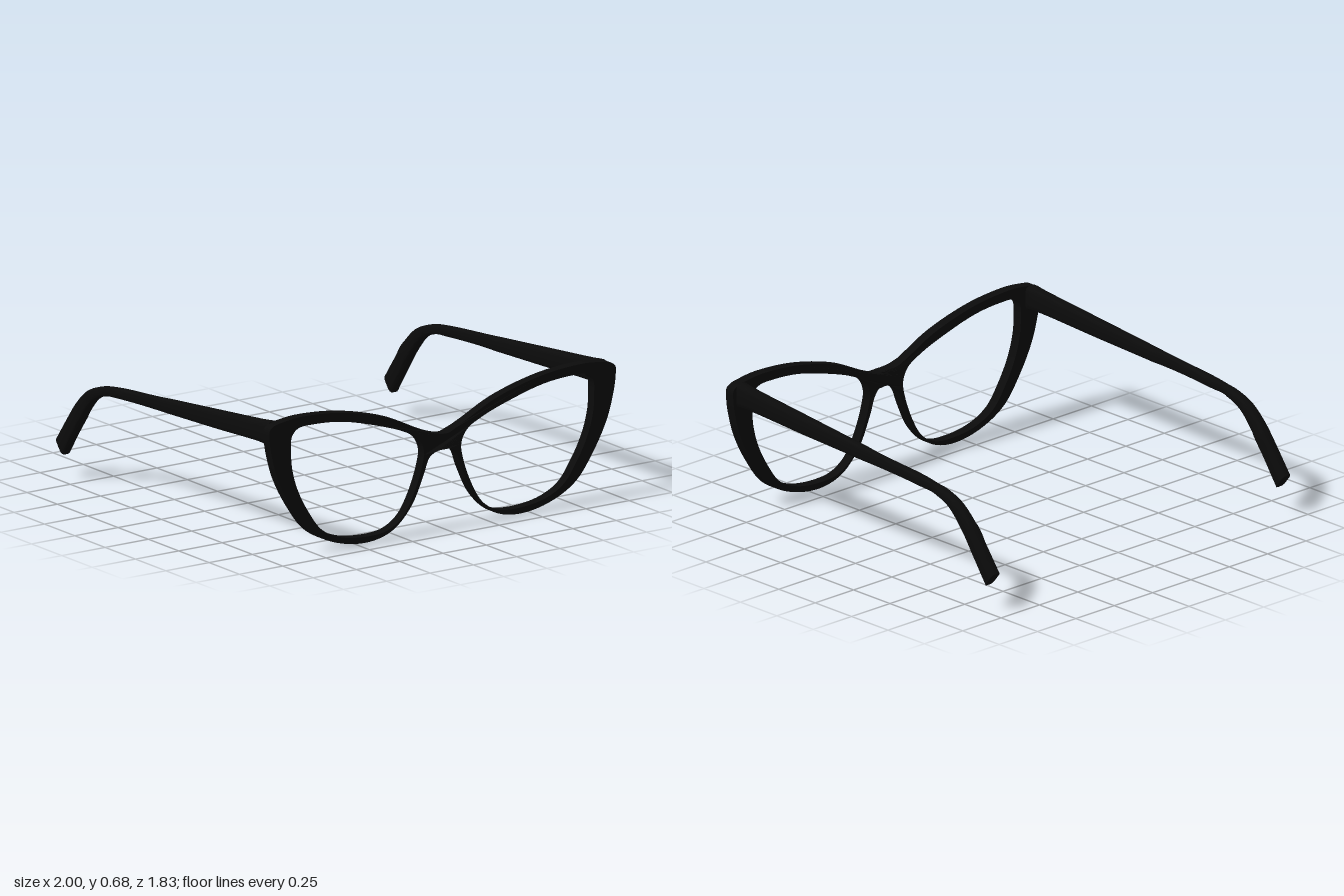
import * as THREE from 'three';
import { toCreasedNormals } from 'three/addons/utils/BufferGeometryUtils.js';

const material = new THREE.MeshStandardMaterial({ color: 0x0b0b0b });
const FRONT = 0.89, BACK = 0.84;

// Smooth closed outline through a few [x, y] points
function smoothLoop(points, divisions) {
  const curve = new THREE.CatmullRomCurve3(points.map(([x, y]) => new THREE.Vector3(x, y, 0)), true);
  return curve.getPoints(divisions).slice(0, -1).map((p) => new THREE.Vector2(p.x, p.y));
}
const mirrorX = (points) => points.map(([x, y]) => [-x, y]).reverse();

// Cat-eye rim with two lens openings; the bridge bulges forward
function createRim() {
  const half = [
    [0.035, 0.393], [0.075, 0.365], [0.11, 0.28], [0.18, 0.14], [0.285, 0.04], [0.42, 0.003],
    [0.605, 0.027], [0.765, 0.107], [0.87, 0.24], [0.95, 0.39], [0.988, 0.52], [0.998, 0.585],
    [0.998, 0.638], [0.975, 0.658], [0.9, 0.673], [0.81, 0.68], [0.58, 0.662], [0.31, 0.593],
    [0.12, 0.505], [0.055, 0.48],
  ];
  const lens = [
    [0.875, 0.52], [0.87, 0.59], [0.835, 0.625], [0.74, 0.632], [0.58, 0.618], [0.39, 0.57],
    [0.23, 0.515], [0.14, 0.465], [0.108, 0.4], [0.12, 0.32], [0.17, 0.19], [0.23, 0.096],
    [0.31, 0.045], [0.41, 0.031], [0.58, 0.05], [0.695, 0.105], [0.77, 0.2], [0.835, 0.32], [0.868, 0.43],
  ];
  const shape = new THREE.Shape(smoothLoop([[0, 0.396], ...half, [0, 0.473], ...mirrorX(half)], 336));
  for (const hole of [lens, mirrorX(lens)]) shape.holes.push(new THREE.Path(smoothLoop(hole, 133)));

  const geometry = new THREE.ExtrudeGeometry(shape, { depth: FRONT - BACK, bevelEnabled: false });
  geometry.translate(0, 0, BACK);
  const pos = geometry.attributes.position;
  for (let i = 0; i < pos.count; i++) {
    const t = Math.min(Math.abs(pos.getX(i)) / 0.1, 1);
    pos.setZ(i, pos.getZ(i) + 0.0125 * (1 + Math.cos(Math.PI * t)));
  }
  const rim = new THREE.Mesh(toCreasedNormals(geometry, 0.6), material);
  rim.name = 'frontRim';
  return rim;
}

// Temple arm: rounded sections lofted along a top edge and a bottom edge
function createTemple(side) {
  // Stations: top z, top y, bottom z, bottom y, inner |x|, outer |x|
  const stations = [
    [0.845, 0.668, 0.845, 0.548, 0.903, 0.98], [0.82, 0.666, 0.82, 0.549, 0.912, 0.979],
    [0.76, 0.658, 0.76, 0.551, 0.915, 0.977], [0.4, 0.622, 0.4, 0.533, 0.919, 0.976],
    [0, 0.583, 0, 0.515, 0.924, 0.973], [-0.4, 0.544, -0.4, 0.495, 0.924, 0.973],
    [-0.54, 0.523, -0.52, 0.48, 0.924, 0.973], [-0.655, 0.48, -0.605, 0.444, 0.921, 0.975],
    [-0.75, 0.4, -0.69, 0.355, 0.92, 0.975], [-0.83, 0.3, -0.77, 0.243, 0.92, 0.975],
    [-0.914, 0.188, -0.858, 0.117, 0.92, 0.975],
  ];
  const curveOf = (pick) => new THREE.CatmullRomCurve3(stations.map((s) => new THREE.Vector3(...pick(s))));
  const top = curveOf((s) => [0, s[1], s[0]]);
  const bottom = curveOf((s) => [0, s[3], s[2]]);
  const width = curveOf((s) => [s[4], s[5], 0]);
  const rings = 60, sides = 28;
  const positions = [], index = [];
  const softPower = (v) => Math.sign(v) * Math.pow(Math.abs(v), 0.5);

  for (let r = 0; r <= rings; r++) {
    const t = r / rings;
    const a = top.getPoint(t), b = bottom.getPoint(t), w = width.getPoint(t);
    for (let i = 0; i < sides; i++) {
      const angle = (i / sides) * Math.PI * 2;
      const p = b.clone().lerp(a, 0.5 + 0.5 * softPower(Math.sin(angle)));
      const x = (side * (w.x + w.y)) / 2 + ((w.y - w.x) / 2) * softPower(Math.cos(angle));
      positions.push(x, p.y, p.z);
      if (r === rings) continue;
      const f = r * sides + i, fNext = r * sides + ((i + 1) % sides);
      index.push(f, f + sides, fNext, f + sides, fNext + sides, fNext);
    }
  }
  // Flat ends
  const last = rings * sides;
  for (let i = 1; i < sides - 1; i++) {
    index.push(0, i, i + 1, last, last + i + 1, last + i);
  }
  const geometry = new THREE.BufferGeometry();
  geometry.setAttribute('position', new THREE.Float32BufferAttribute(positions, 3));
  geometry.setIndex(index);
  const temple = new THREE.Mesh(toCreasedNormals(geometry, 0.8), material);
  temple.name = side > 0 ? 'leftTemple' : 'rightTemple';
  return temple;
}

export function createModel() {
  const glasses = new THREE.Group();
  glasses.name = 'glasses';
  glasses.add(createRim(), createTemple(1), createTemple(-1));
  return glasses;
}
